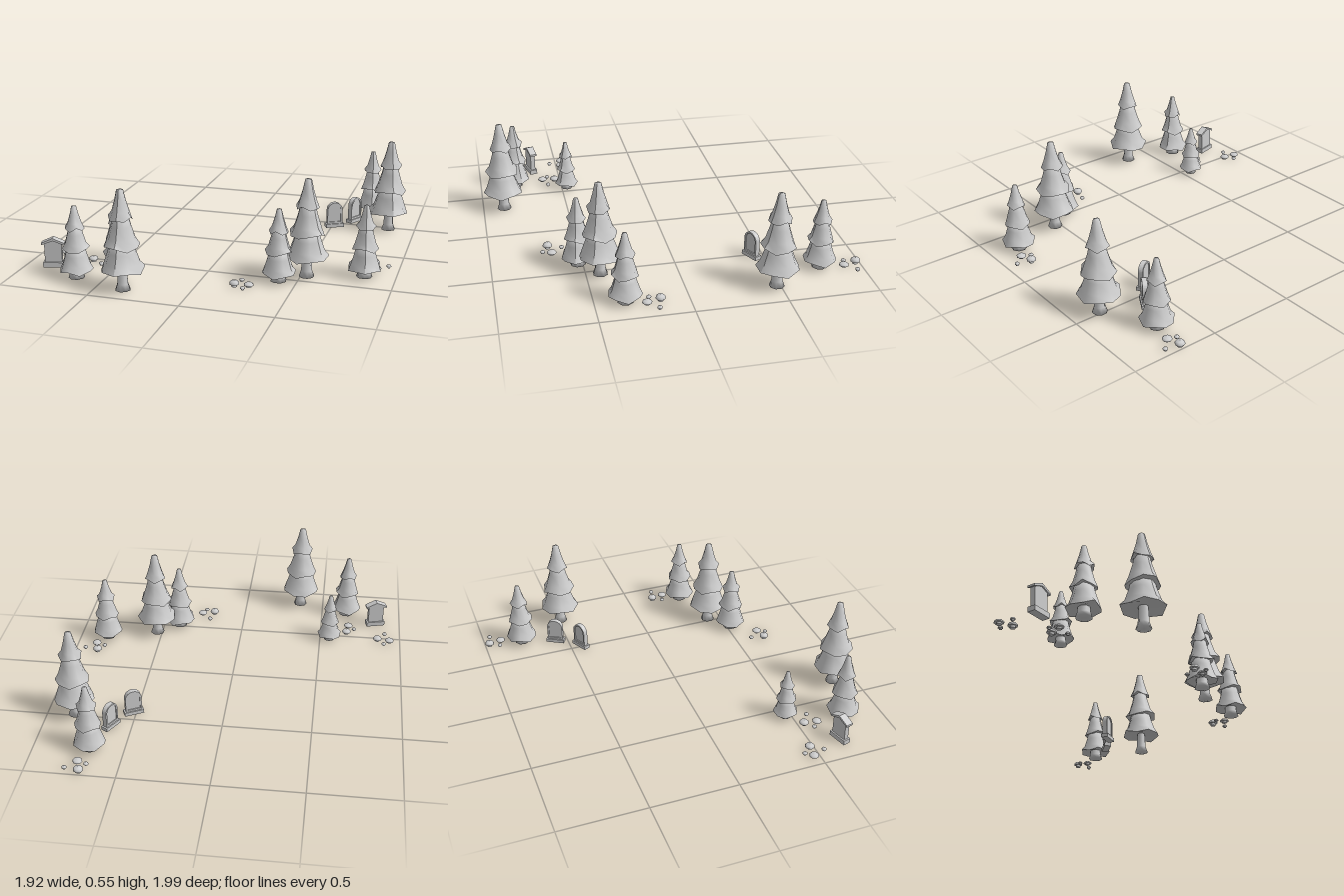
import * as THREE from 'three';
import { mergeGeometries } from 'three/addons/utils/BufferGeometryUtils.js';

const stone = new THREE.MeshStandardMaterial({ color: 0xcccccc });
stone.name = 'plain grey';

function part(name, geometry, parent, x = 0, y = 0, z = 0) {
  const mesh = new THREE.Mesh(geometry, stone);
  mesh.name = name;
  mesh.position.set(x, y, z);
  parent.add(mesh);
  return mesh;
}

const lathe = (pts, sides) =>
  new THREE.LatheGeometry(pts.map(([r, y]) => new THREE.Vector2(r, y)), sides);

// One skirt of branches: a flared cone with a jagged rim and a closed underside
function tierGeometry(rim, y0, top, y1, jag, phase) {
  const sides = 9, h = y1 - y0, d = rim - top;
  const shell = [[rim, y0], [top + d * 0.62, y0 + h * 0.25], [top + d * 0.27, y0 + h * 0.62], [top, y1], [0, y1 + 0.002]];
  const under = [[0, y0 + 0.012], [rim * 0.5, y0 + 0.008], [rim, y0]];
  return mergeGeometries([shell, under].map((pts) => {
    const geo = lathe(pts, sides);
    const pos = geo.attributes.position;
    for (let i = 0; i < pos.count; i++) {
      const ring = Math.floor(i / pts.length) % sides;
      if (Math.hypot(pos.getX(i), pos.getZ(i)) < rim * 0.95) continue;
      const wave = Math.sin(ring * 2.4 + phase);
      const spread = 1 + 0.04 * wave;
      pos.setXYZ(i, pos.getX(i) * spread, pos.getY(i) + jag * wave, pos.getZ(i) * spread);
    }
    geo.computeVertexNormals();
    return geo;
  }));
}

// Tiers: rim radius, rim height, top radius, top height
const TALL = {
  trunk: [[0, 0], [0.042, 0], [0.03, 0.035], [0.025, 0.13]],
  tiers: [[0.117, 0.115, 0.06, 0.27], [0.096, 0.243, 0.038, 0.42], [0.064, 0.396, 0.018, 0.546]],
};
const SHORT = {
  trunk: [[0, 0], [0.044, 0], [0.036, 0.025], [0.032, 0.07]],
  tiers: [[0.092, 0.046, 0.048, 0.18], [0.073, 0.162, 0.032, 0.3], [0.053, 0.28, 0.013, 0.402]],
};

function makeTree(kind, x, z, turn, scale = 1) {
  const tree = new THREE.Group();
  tree.name = 'tree';
  part('trunk', lathe(kind.trunk, 8), tree);
  kind.tiers.forEach(([r, y0, t, y1], i) =>
    part('branchTier', tierGeometry(r, y0, t, y1, 0.013, i * 1.7), tree));
  tree.position.set(x, 0, z);
  tree.rotation.y = turn;
  tree.scale.setScalar(scale);
  return tree;
}

// Mushroom: stem under a domed cap
function makeMushroom(x, z, r, h) {
  const m = new THREE.Group();
  m.name = 'mushroom';
  const y0 = h * 0.4, d = h - y0;
  part('stem', new THREE.CylinderGeometry(r * 0.5, r * 0.58, y0, 8), m, 0, y0 / 2);
  part('cap', lathe([[r, y0], [r * 0.98, y0 + d * 0.4], [r * 0.72, y0 + d * 0.82], [0, h]], 8), m);
  part('capUnderside', lathe([[0, y0], [r, y0]], 8), m);
  m.position.set(x, 0, z);
  return m;
}

function slab(shape, depth) {
  const geo = new THREE.ExtrudeGeometry(shape, { depth, bevelEnabled: false, curveSegments: 8 });
  return geo.translate(0, 0, -depth / 2);
}

function archOutline(target, w, y0, spring) {
  target.moveTo(-w, y0);
  target.lineTo(w, y0);
  target.lineTo(w, spring);
  target.absarc(0, spring, w, 0, Math.PI, false);
  target.lineTo(-w, y0);
  return target;
}

// Arched headstone with a sunken panel on both faces
function makeArchedStone(x, z, turn) {
  const g = new THREE.Group();
  g.name = 'archedHeadstone';
  part('plinth', new THREE.BoxGeometry(0.112, 0.022, 0.042), g, 0, 0.011);
  const frame = archOutline(new THREE.Shape(), 0.047, 0.022, 0.108);
  frame.holes.push(archOutline(new THREE.Path(), 0.037, 0.034, 0.108));
  part('archFrame', slab(frame, 0.028), g);
  part('sunkenPanel', slab(archOutline(new THREE.Shape(), 0.038, 0.03, 0.108), 0.016), g);
  g.position.set(x, 0, z);
  g.rotation.y = turn;
  return g;
}

// Headstone with a small pitched roof
function makeGabledStone(x, z, turn) {
  const g = new THREE.Group();
  g.name = 'gabledHeadstone';
  part('plinth', new THREE.BoxGeometry(0.115, 0.028, 0.045), g, 0, 0.014);
  const poly = (pts) => new THREE.Shape(pts.map(([a, b]) => new THREE.Vector2(a, b)));
  part('body', slab(poly([[-0.048, 0.028], [0.048, 0.028], [0.048, 0.135], [0, 0.156], [-0.048, 0.135]]), 0.028), g);
  part('roof', slab(poly([[-0.064, 0.129], [0, 0.154], [0.064, 0.129], [0.064, 0.141], [0, 0.169], [-0.064, 0.141]]), 0.043), g);
  g.position.set(x, 0, z);
  g.rotation.y = turn;
  return g;
}

export function createModel() {
  const model = new THREE.Group();
  model.name = 'graveyardGrove';

  [[0.84, -0.48, 0.4], [0.53, 0.42, 1.1], [-0.35, 0.875, 0]]
    .forEach(([x, z, t]) => model.add(makeTree(TALL, x, z, t)));
  [[0.69, -0.77, 0.2], [0.83, 0.335, 0.2], [0.4, 0.525, 1.3], [-0.655, 0.782, 2]]
    .forEach(([x, z, t]) => model.add(makeTree(SHORT, x, z, t)));
  model.add(makeTree(SHORT, -0.557, 0.468, 0.8, 0.77));

  // Mushroom clusters: x, z, radius, height
  const big = 0.027, small = 0.014;
  [
    [0.705, -0.974, big, 0.036], [0.727, -0.9, big, 0.025], [0.785, -0.958, small, 0.02], [0.677, -0.915, small, 0.018],
    [0.86, 0.155, big, 0.036], [0.88, 0.23, big, 0.025], [0.94, 0.175, small, 0.02], [0.828, 0.212, small, 0.018],
    [0.197, 0.672, big, 0.036], [0.272, 0.656, big, 0.025], [0.217, 0.595, small, 0.02], [0.251, 0.704, small, 0.018],
    [-0.935, 0.465, big, 0.025], [-0.86, 0.475, big, 0.03], [-0.9, 0.427, small, 0.018], [-0.905, 0.54, small, 0.02],
    [-0.665, 0.535, big, 0.03], [-0.675, 0.61, big, 0.025], [-0.712, 0.577, small, 0.018], [-0.598, 0.582, small, 0.02],
  ].forEach((m) => model.add(makeMushroom(...m)));

  model.add(makeArchedStone(0.515, -0.435, 0.47));
  model.add(makeArchedStone(0.617, -0.57, 1.05));
  model.add(makeGabledStone(-0.843, 0.668, 0.26));
  return model;
}
